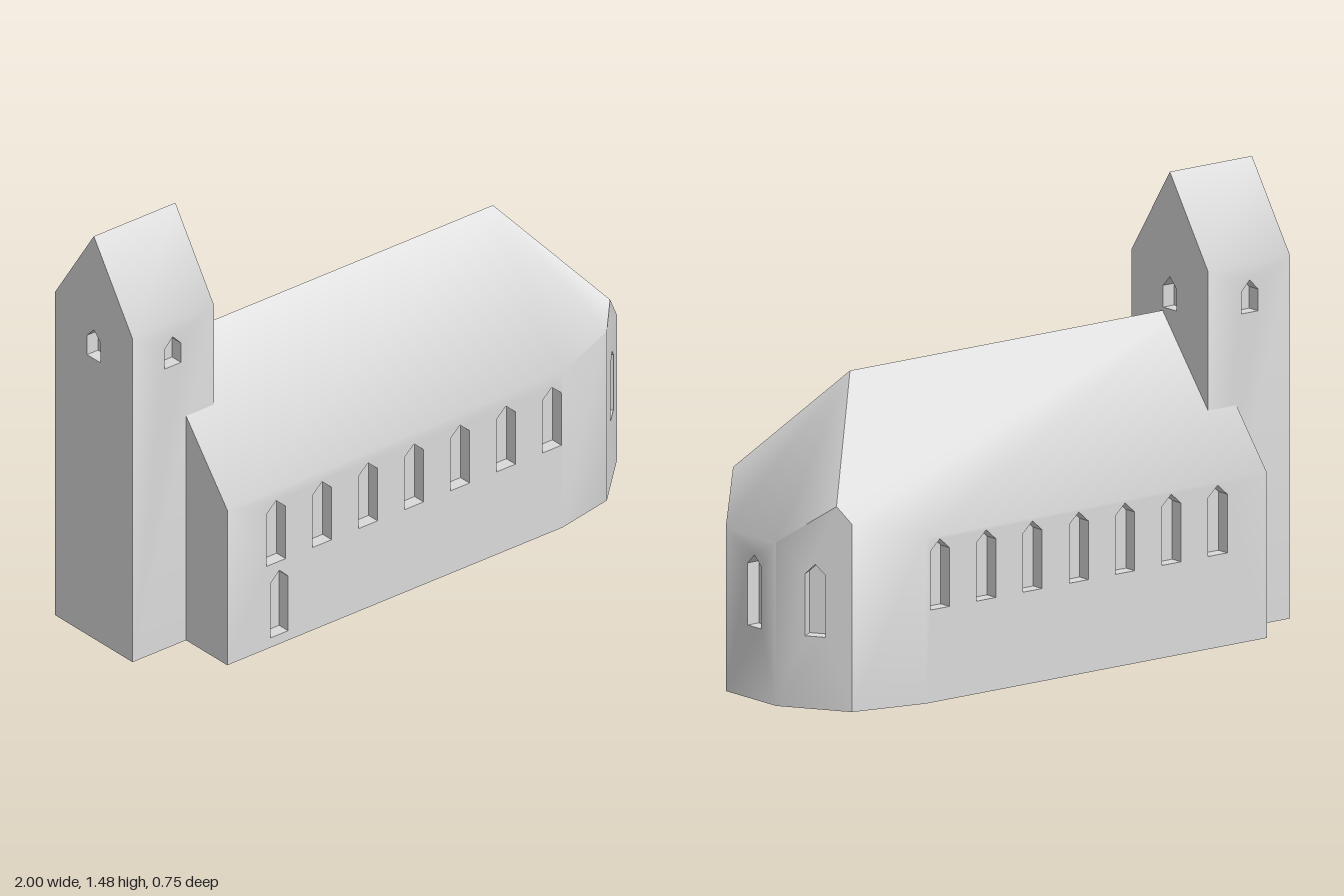
import * as THREE from 'three';
import { mergeGeometries, toCreasedNormals } from 'three/addons/utils/BufferGeometryUtils.js';

const stone = new THREE.MeshStandardMaterial({ color: 0xdadada });
stone.name = 'paleStone';
const NICHE = 0.045;
const CREASE = 0.75;

// Flat convex face from corners listed counter-clockwise as seen from outside
function face(pts) {
  const pos = [];
  for (let i = 1; i < pts.length - 1; i++) {
    for (const p of [pts[0], pts[i], pts[i + 1]]) pos.push(p.x, p.y, p.z);
  }
  const g = new THREE.BufferGeometry();
  g.setAttribute('position', new THREE.Float32BufferAttribute(pos, 3));
  g.computeVertexNormals();
  return g;
}

// Pointed opening: u is the distance along the wall to its centre
function opening(u, y, w, shoulder, apex) {
  return [[u - w / 2, y], [u + w / 2, y], [u + w / 2, shoulder], [u, apex], [u - w / 2, shoulder]]
    .map(([a, b]) => new THREE.Vector2(a, b));
}

function flat(shape, matrix) {
  const g = new THREE.ShapeGeometry(shape).toNonIndexed();
  g.deleteAttribute('uv');
  return g.applyMatrix4(matrix);
}

// Wall over ground points [x, z], topped by height(x, z), with recessed openings
function wall(ground, height, openings = []) {
  const start = new THREE.Vector3(ground[0][0], 0, ground[0][1]);
  const last = ground[ground.length - 1];
  const along = new THREE.Vector3(last[0], 0, last[1]).sub(start);
  const length = along.length();
  along.normalize();
  const up = new THREE.Vector3(0, 1, 0);
  const out = along.clone().cross(up);
  const matrix = new THREE.Matrix4().makeBasis(along, up, out).setPosition(start);
  const inner = matrix.clone().multiply(new THREE.Matrix4().makeTranslation(0, 0, -NICHE));

  const top = ground.map(([x, z]) =>
    new THREE.Vector2(Math.hypot(x - start.x, z - start.z), height(x, z)));
  const outline = new THREE.Shape([
    new THREE.Vector2(0, 0), new THREE.Vector2(length, 0), ...top.reverse()]);
  outline.holes = openings.map((pts) => new THREE.Path(pts));

  const parts = [flat(outline, matrix)];
  for (const pts of openings) {
    // Reveals and the back of each recess
    pts.forEach((p, i) => {
      const q = pts[(i + 1) % pts.length];
      const at = (v, m) => new THREE.Vector3(v.x, v.y, 0).applyMatrix4(m);
      parts.push(face([at(p, matrix), at(q, matrix), at(q, inner), at(p, inner)]));
    });
    parts.push(flat(new THREE.Shape(pts), inner));
  }
  return mergeGeometries(parts);
}

function floor(points) {
  return face(points.map(([x, z]) => new THREE.Vector3(x, 0, z)).reverse());
}

// One mesh per part, with normals shared across the shallow edges between parts
function assemble(name, parts) {
  const group = new THREE.Group();
  group.name = name;
  const whole = mergeGeometries(Object.values(parts));
  const position = whole.attributes.position;
  position.array.forEach((v, i) => { position.array[i] = Math.round(v * 1e4) / 1e4; });
  const creased = toCreasedNormals(whole, CREASE);
  let from = 0;
  for (const [partName, part] of Object.entries(parts)) {
    const to = from + part.attributes.position.count * 3;
    const g = new THREE.BufferGeometry();
    for (const key of ['position', 'normal']) {
      const values = creased.attributes[key].array.slice(from, to);
      g.setAttribute(key, new THREE.BufferAttribute(values, 3));
    }
    const mesh = new THREE.Mesh(g, stone);
    mesh.name = partName;
    group.add(mesh);
    from = to;
  }
  return group;
}

function buildNave() {
  const ridgeZ = 0.01, ridgeY = 1.015, ridgeEnd = 0.61, west = -0.78;
  const height = (x, z) => Math.min(
    ridgeY - 1.23 * (z - ridgeZ),
    ridgeY - 1.234 * (ridgeZ - z),
    ridgeY - 1.23 * (x - ridgeEnd));

  // Ground corners, counter-clockwise from the front west corner
  const frontWest = [west, 0.373], frontBend = [0.597, 0.373], frontEast = [0.815, 0.33];
  const frontHip = [0.8741, 0.2741], apseFront = [1, 0.155], apseBack = [1, -0.1];
  const backHip = [0.8924, -0.2714], backEast = [0.865, -0.315];
  const backBend = [0.61, -0.375], backWest = [west, -0.375];
  const ridgeWest = [west, ridgeZ], ridgeEast = [ridgeEnd, ridgeZ];

  // Seven windows on each long side, and a door at the front
  const frontOpenings = [opening(0.214, 0.035, 0.072, 0.235, 0.27)];
  const backOpenings = [];
  for (let i = 0; i < 7; i++) {
    const x = -0.579 + i * 0.1888;
    frontOpenings.push(opening(x - west, 0.303, 0.078, 0.495, 0.53));
    backOpenings.push(opening(backBend[0] - x, 0.303, 0.078, 0.495, 0.53));
  }
  const apseWindow = (u) => [opening(u, 0.237, 0.068, 0.44, 0.473)];
  const roof = (pts) => face(pts.map(([x, z]) => new THREE.Vector3(x, height(x, z), z)));

  return assemble('nave', {
    frontWall: wall([frontWest, frontBend], height, frontOpenings),
    frontBendWall: wall([frontBend, frontEast], height),
    apseFrontWall: wall([frontEast, frontHip, apseFront], height, apseWindow(0.132)),
    apseEndWall: wall([apseFront, apseBack], height, apseWindow(0.145)),
    apseBackWall: wall([apseBack, backHip, backEast], height, apseWindow(0.131)),
    backBendWall: wall([backEast, backBend], height),
    backWall: wall([backBend, backWest], height, backOpenings),
    westGable: wall([backWest, ridgeWest, frontWest], height),
    // Roof slopes meeting at the ridge and two hips
    frontRoof: roof([ridgeEast, ridgeWest, frontWest, frontBend, frontEast, frontHip]),
    backRoof: roof([ridgeWest, ridgeEast, backHip, backEast, backBend, backWest]),
    apseRoof: roof([ridgeEast, frontHip, apseFront, apseBack, backHip]),
    naveFloor: floor([frontWest, frontBend, frontEast, apseFront, apseBack,
      backEast, backBend, backWest]),
  });
}

function buildTower() {
  const x0 = -1, x1 = -0.665, z0 = -0.22, z1 = 0.167, eave = 1.185, ridge = 1.475;
  const mid = (z0 + z1) / 2;
  const height = (x, z) => ridge - (ridge - eave) * Math.abs(z - mid) / (z1 - mid);
  const bell = (u) => [opening(u, 1.026, 0.068, 1.097, 1.132)];
  const v = (x, z) => new THREE.Vector3(x, height(x, z), z);

  return assemble('tower', {
    towerFrontWall: wall([[x0, z1], [x1, z1]], height, bell(0.165)),
    towerBackWall: wall([[x1, z0], [x0, z0]], height, bell(0.17)),
    towerEastGable: wall([[x1, z1], [x1, mid], [x1, z0]], height, bell(z1 - mid)),
    towerWestGable: wall([[x0, z0], [x0, mid], [x0, z1]], height, bell(z1 - mid)),
    towerFrontRoof: face([v(x0, z1), v(x1, z1), v(x1, mid), v(x0, mid)]),
    towerBackRoof: face([v(x1, z0), v(x0, z0), v(x0, mid), v(x1, mid)]),
    towerFloor: floor([[x0, z1], [x1, z1], [x1, z0], [x0, z0]]),
  });
}

export function createModel() {
  const church = new THREE.Group();
  church.name = 'church';
  church.add(buildNave(), buildTower());
  return church;
}
